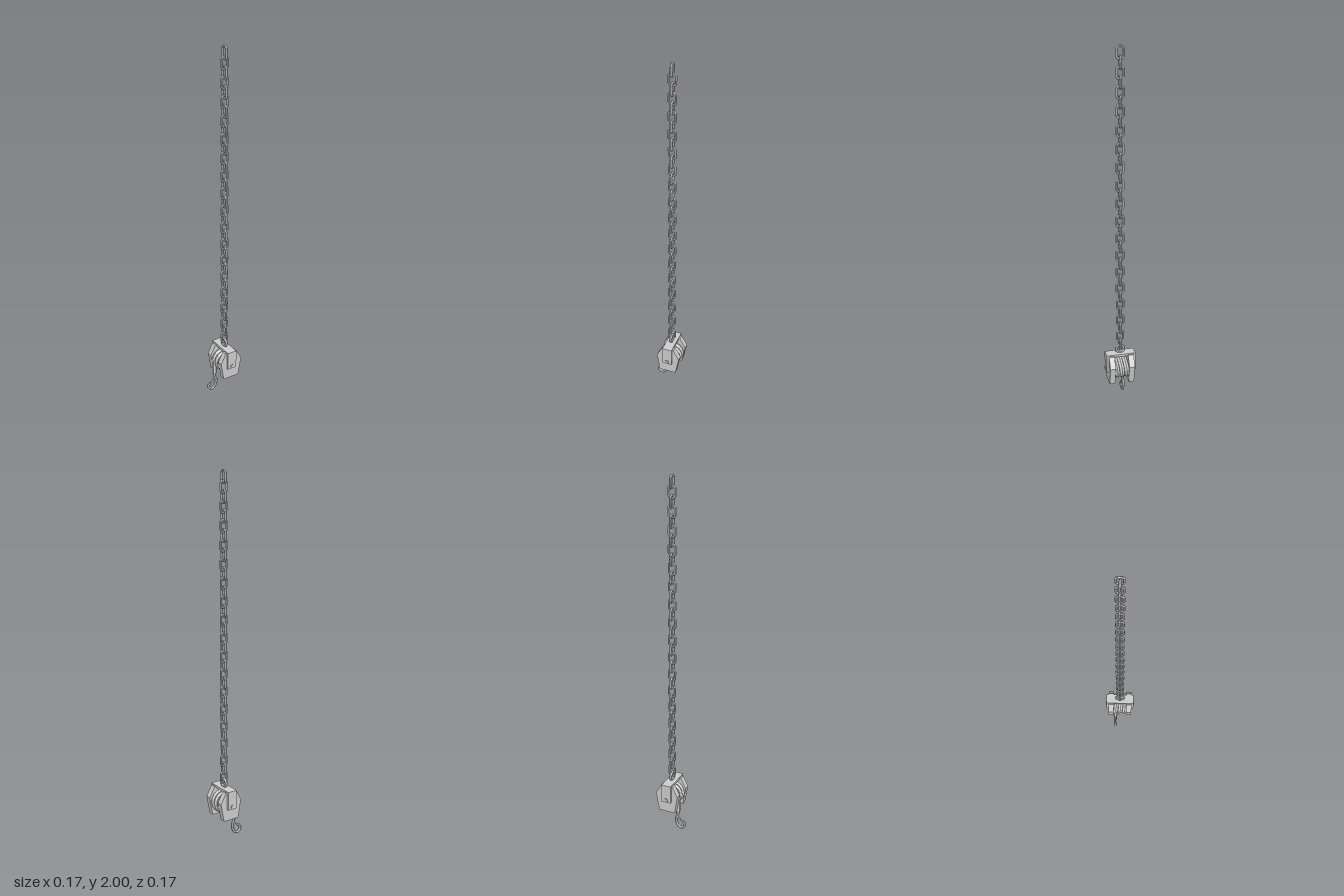
import * as THREE from 'three';

const CX = 0.015;    // hanging line
const AXLE_Y = 0.2;  // drum axle height

export function createModel() {
  const model = new THREE.Group();
  model.name = 'chainHoist';
  const grey = new THREE.MeshStandardMaterial({ color: 0xcccccc, flatShading: true });

  const add = (name, geometry, x = 0, y = 0, z = 0) => {
    const mesh = new THREE.Mesh(geometry, grey);
    mesh.name = name;
    mesh.position.set(x, y, z);
    model.add(mesh);
    return mesh;
  };
  const rod = (r, length, sides) => new THREE.CylinderGeometry(r, r, length, sides).rotateX(Math.PI / 2);
  const tube = (points, r, steps, sides) => new THREE.TubeGeometry(
    new THREE.CatmullRomCurve3(points.map(([x, y]) => new THREE.Vector3(x, y, 0))), steps, r, sides);

  // Chain: an octagonal ring stretched into a link, turned by a quarter each time
  const link = new THREE.TorusGeometry(0.0195, 0.0065, 6, 8).rotateZ(Math.PI / 8);
  const p = link.attributes.position;
  for (let i = 0; i < p.count; i++) p.setY(i, p.getY(i) + Math.sign(p.getY(i)) * 0.0135);
  for (let i = 0; i < 34; i++) {
    const mesh = add('chainLink', link, CX, 1.9625 - i * 0.0489, 0);
    if (i % 2 === 0) mesh.rotation.y = Math.PI / 2;
  }

  // Eye on top of the bracket
  add('eyeRing', new THREE.TorusGeometry(0.022, 0.008, 6, 12).rotateY(Math.PI / 2), CX, 0.315, 0);

  // Bracket: top bar, two legs, bolts
  add('bracketTop', new THREE.BoxGeometry(0.055, 0.014, 0.164), CX, 0.284, 0);
  for (const side of [1, -1]) {
    add('bracketLeg', new THREE.BoxGeometry(0.055, 0.094, 0.013), CX, 0.232, side * 0.0755);
    add('boltHead', rod(0.012, 0.012, 6), CX, AXLE_Y, side * 0.081);
  }

  // Cheek plates
  const outline = [[-0.02, 0.284], [-0.05, 0.225], [-0.033, 0.12], [0.063, 0.12], [0.083, 0.225], [0.05, 0.284]];
  const plateShape = new THREE.Shape(outline.map(([x, y]) => new THREE.Vector2(x, y)));
  const plate = new THREE.ExtrudeGeometry(plateShape, { depth: 0.031, bevelEnabled: false });
  add('cheekPlate', plate, 0, 0, 0.039);
  add('cheekPlate', plate, 0, 0, -0.07);

  // Drum with three slanted rope turns
  add('drum', rod(0.042, 0.08, 16), CX, AXLE_Y, 0);
  for (const z of [-0.027, 0, 0.027]) {
    add('ropeTurn', new THREE.TorusGeometry(0.049, 0.0145, 6, 16), CX, AXLE_Y, z).rotation.x = 0.1;
  }

  // Hanging rope end, collar and hook
  const hookZ = -0.027;
  add('ropeEnd', new THREE.CylinderGeometry(0.0135, 0.0135, 0.085, 6), -0.034, 0.1575, hookZ);
  add('hookCollar', new THREE.CylinderGeometry(0.0135, 0.01, 0.014, 6), -0.034, 0.108, hookZ);
  add('hook', tube([[-0.034, 0.112], [-0.033, 0.088], [-0.025, 0.066], [-0.026, 0.04], [-0.037, 0.017],
    [-0.055, 0.0085], [-0.071, 0.018], [-0.076, 0.034], [-0.069, 0.046]], 0.0085, 24, 6), 0, 0, hookZ);
  add('hookTip', new THREE.SphereGeometry(0.0085, 6, 4), -0.069, 0.046, hookZ);
  add('hookLatch', tube([[-0.07, 0.043], [-0.05, 0.059], [-0.032, 0.078]], 0.005, 4, 5), 0, 0, hookZ);

  return model;
}
